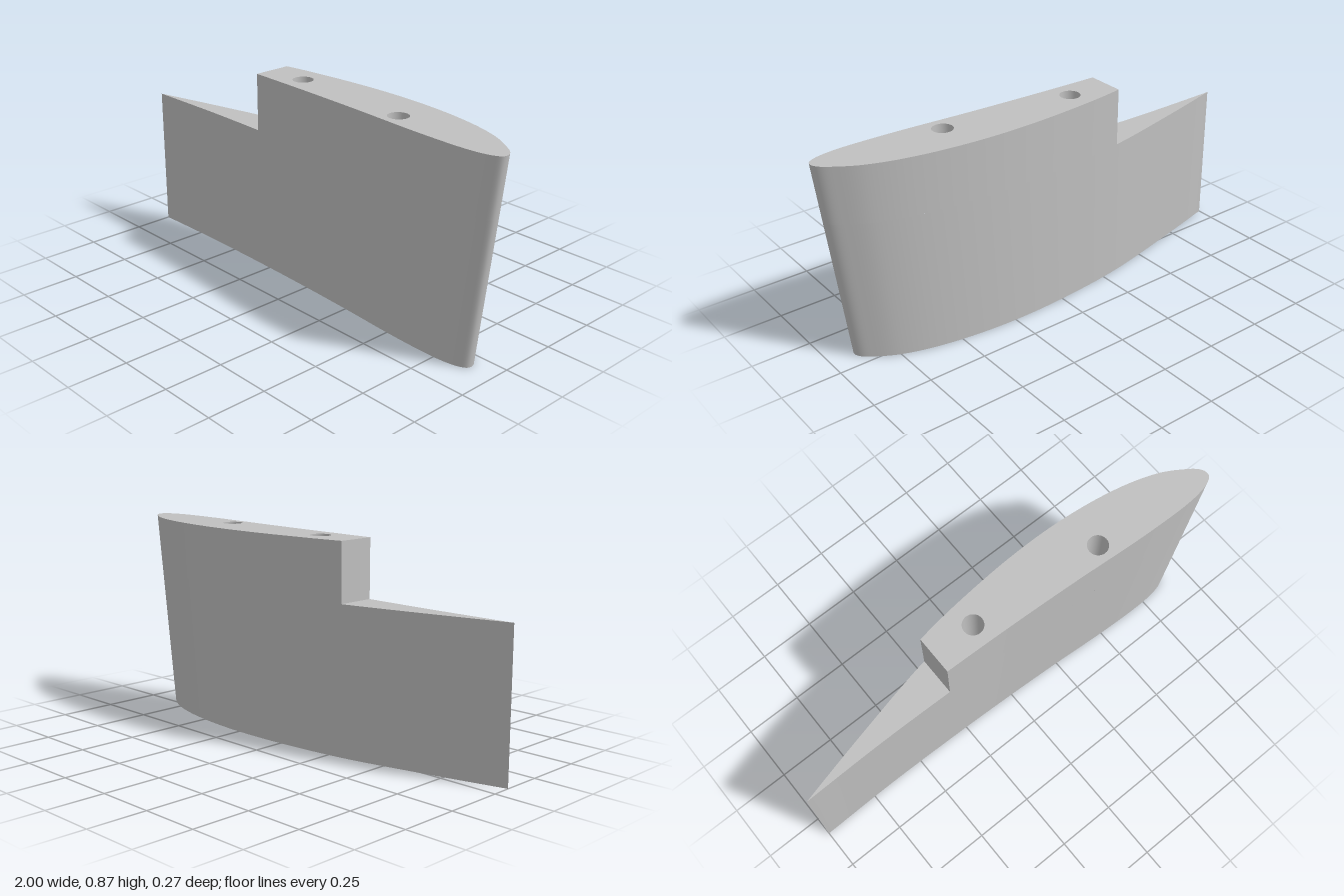
import * as THREE from 'three';

const HEIGHT = 0.866, LEDGE = 0.62, STEP_X = -0.31, TAIL_Z = 0.08;
const HOLES = [[-0.12, -0.005], [0.46, 0.043]], HOLE_R = 0.043;

// Aerofoil outline at full chord as (x, z): tail, back, nose, front, tail
const PROFILE = [
  [-1, 0.08], [-0.7, 0.004], [-0.31, -0.084], [0, -0.122], [0.27, -0.134], [0.5, -0.122],
  [0.7, -0.09], [0.85, -0.043], [0.95, 0.015], [0.99, 0.05], [1, 0.08],
  [0.985, 0.103], [0.93, 0.122], [0.82, 0.131], [0.6, 0.125], [0.3, 0.105],
  [0, 0.09], [-0.31, 0.08], [-0.65, 0.075], [-1, 0.08],
];
const NOSE_T = 10 / (PROFILE.length - 1);
const curve = new THREE.SplineCurve(PROFILE.map(([x, z]) => new THREE.Vector2(x, z)));

// The section shrinks towards the bottom about the upright tail edge
function pointAt(t, y) {
  const s = 1 - 0.0525 * (1 - y / HEIGHT);
  const p = curve.getPoint(t);
  return new THREE.Vector2(-1 + (p.x + 1) * s, TAIL_Z + (p.y - TAIL_Z) * s);
}

// Curve parameter where the outline crosses the step plane
function crossing(y, tail) {
  let lo = tail, hi = NOSE_T;
  for (let i = 0; i < 40; i++) {
    const mid = (lo + hi) / 2;
    if (pointAt(mid, y).x < STEP_X) lo = mid; else hi = mid;
  }
  return lo;
}

function span(y, t0, t1, n) {
  return Array.from({ length: n + 1 }, (_, i) => pointAt(t0 + (t1 - t0) * i / n, y));
}
const fullSection = (y) => span(y, 0, 1, 114);
const noseSection = (y) => span(y, crossing(y, 0), crossing(y, 1), 96);
const circle = ([x, z]) => Array.from({ length: 33 }, (_, i) => {
  const a = -i / 32 * Math.PI * 2;
  return new THREE.Vector2(x + HOLE_R * Math.cos(a), z + HOLE_R * Math.sin(a));
});

// Ruled wall between two matching outlines
function wall(low, y0, high, y1) {
  const pos = [], index = [];
  low.forEach((p, i) => {
    pos.push(p.x, y0, p.y, high[i].x, y1, high[i].y);
    if (i < low.length - 1) {
      const a = i * 2;
      index.push(a, a + 1, a + 2, a + 2, a + 1, a + 3);
    }
  });
  const g = new THREE.BufferGeometry();
  g.setAttribute('position', new THREE.Float32BufferAttribute(pos, 3));
  g.setIndex(index);
  g.computeVertexNormals();
  return g;
}

// Flat cap facing up or down, optionally drilled
function cap(points, y, up, drilled) {
  const sign = up ? -1 : 1;
  const flat = (list) => list.map((p) => new THREE.Vector2(p.x, p.y * sign));
  const shape = new THREE.Shape(flat(points));
  if (drilled) shape.holes = HOLES.map((h) => new THREE.Path(flat(circle(h).slice(0, -1))));
  return new THREE.ShapeGeometry(shape).rotateX(sign * Math.PI / 2).translate(0, y, 0);
}

export function createModel() {
  const group = new THREE.Group();
  const grey = new THREE.MeshStandardMaterial({ color: 0xc0c0c0 });
  grey.name = 'grey';
  const add = (name, geometry) => {
    const mesh = new THREE.Mesh(geometry, grey);
    mesh.name = name;
    group.add(mesh);
  };

  // Outer skin below and above the ledge
  const noseLow = noseSection(LEDGE), noseHigh = noseSection(HEIGHT);
  add('lowerSkin', wall(fullSection(0), 0, fullSection(LEDGE), LEDGE));
  add('upperSkin', wall(noseLow, LEDGE, noseHigh, HEIGHT));

  // Upright face of the step
  const ends = (list) => [list[list.length - 1], list[0]];
  add('stepFace', wall(ends(noseLow), LEDGE, ends(noseHigh), HEIGHT));

  // Flat ends and the ledge behind the step
  const tail = [
    ...span(LEDGE, 0, crossing(LEDGE, 0), 24),
    ...span(LEDGE, crossing(LEDGE, 1), 1, 24).slice(0, -1),
  ];
  add('bottomCap', cap(fullSection(0).slice(0, -1), 0, false, true));
  add('topCap', cap(noseHigh, HEIGHT, true, true));
  add('ledge', cap(tail, LEDGE, true, false));

  // Walls of the spar holes
  HOLES.forEach((h, i) => add('sparHole' + (i + 1), wall(circle(h), 0, circle(h), HEIGHT)));

  return group;
}
